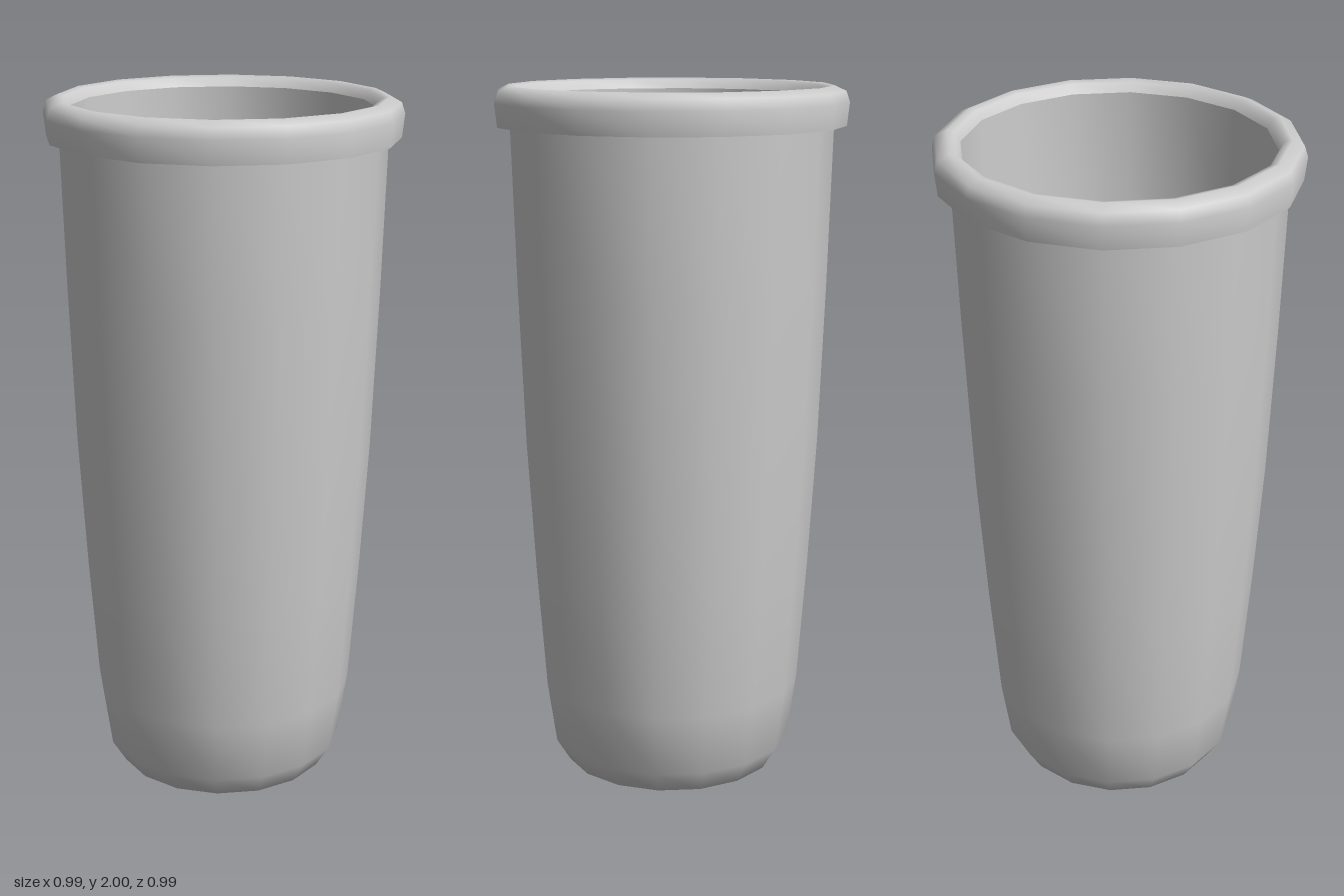
import * as THREE from 'three';
import { mergeVertices, toCreasedNormals } from 'three/addons/utils/BufferGeometryUtils.js';

const SIDES = 16;
const WATER_Y = 1.1;

// 16-sided turned part from [radius, height] pairs, smooth apart from sharp edges
function turned(name, profile, material) {
  const points = profile.map(([r, y]) => new THREE.Vector2(r, y));
  const geometry = toCreasedNormals(new THREE.LatheGeometry(points, SIDES), 0.9);
  const mesh = new THREE.Mesh(geometry, material);
  mesh.name = name;
  return mesh;
}

// Half-melted cube: a box fitted to four [x, z] corners, with pinched edges and domed faces
function iceCube(name, corners, height, y, pinch, material) {
  const box = new THREE.BoxGeometry(2, 2, 2, 8, 8, 8);
  box.deleteAttribute('uv');
  box.deleteAttribute('normal');
  const geometry = mergeVertices(box);
  const pos = geometry.attributes.position;
  const centre = [0, 1].map((i) => corners.reduce((sum, c) => sum + c[i] / 4, 0));
  for (let i = 0; i < pos.count; i++) {
    const u = pos.getX(i), w = pos.getY(i), v = pos.getZ(i);
    const weights = [(1 - u) * (1 - v), (1 + u) * (1 - v), (1 + u) * (1 + v), (1 - u) * (1 + v)];
    const [x, z] = [0, 1].map((k) => corners.reduce((sum, c, j) => sum + c[k] * weights[j] / 4, 0));
    const edge = 1 - Math.min(u * u, v * v);
    const s = 1 - pinch * edge - w * w * (0.14 + 0.12 * edge);
    const dome = 1 - 0.16 * (u * u + v * v);
    pos.setXYZ(i,
      centre[0] + (x - centre[0]) * s,
      y + w * height / 2 * dome,
      centre[1] + (z - centre[1]) * s);
  }
  geometry.computeVertexNormals();
  const mesh = new THREE.Mesh(geometry, material);
  mesh.name = name;
  return mesh;
}

export function createModel() {
  const group = new THREE.Group();
  group.name = 'glass';
  const grey = new THREE.MeshStandardMaterial({ color: 0xcccccc });
  grey.name = 'light grey';

  // Tapering outer wall with a rounded foot
  group.add(turned('outerWall', [
    [0, 0], [0.25, 0], [0.31, 0.025], [0.35, 0.09], [0.376, 0.27],
    [0.402, 0.62], [0.425, 1.0], [0.442, 1.45], [0.455, 1.9],
  ], grey));

  // Rolled rim with a flat underside
  group.add(turned('rim', [
    [0.45, 1.89], [0.49, 1.89], [0.497, 1.955], [0.487, 1.985],
    [0.455, 2.0], [0.435, 1.995], [0.42, 1.97],
  ], grey));

  // Inner wall, running down to a closed floor
  group.add(turned('innerWall', [
    [0.42, 1.97], [0.412, 1.6], [0.39, WATER_Y], [0.367, 0.62],
    [0.34, 0.27], [0.31, 0.1], [0.25, 0.06], [0, 0.06],
  ], grey));

  // Drink surface
  group.add(turned('liquidSurface', [[0.39, WATER_Y], [0, WATER_Y]], grey));

  // Floating ice
  group.add(iceCube('largeIceCube',
    [[-0.1, -0.11], [0.12, -0.35], [0.37, -0.13], [0.16, 0.115]], 0.34, WATER_Y + 0.05, 0.03, grey));
  group.add(iceCube('mediumIceCube',
    [[-0.39, -0.01], [-0.18, -0.155], [0.01, 0.04], [-0.19, 0.225]], 0.29, WATER_Y + 0.04, 0.0, grey));
  group.add(iceCube('smallIceCube',
    [[-0.02, 0.13], [0.205, 0.14], [0.195, 0.335], [-0.025, 0.325]], 0.2, WATER_Y + 0.03, -0.04, grey));

  return group;
}
